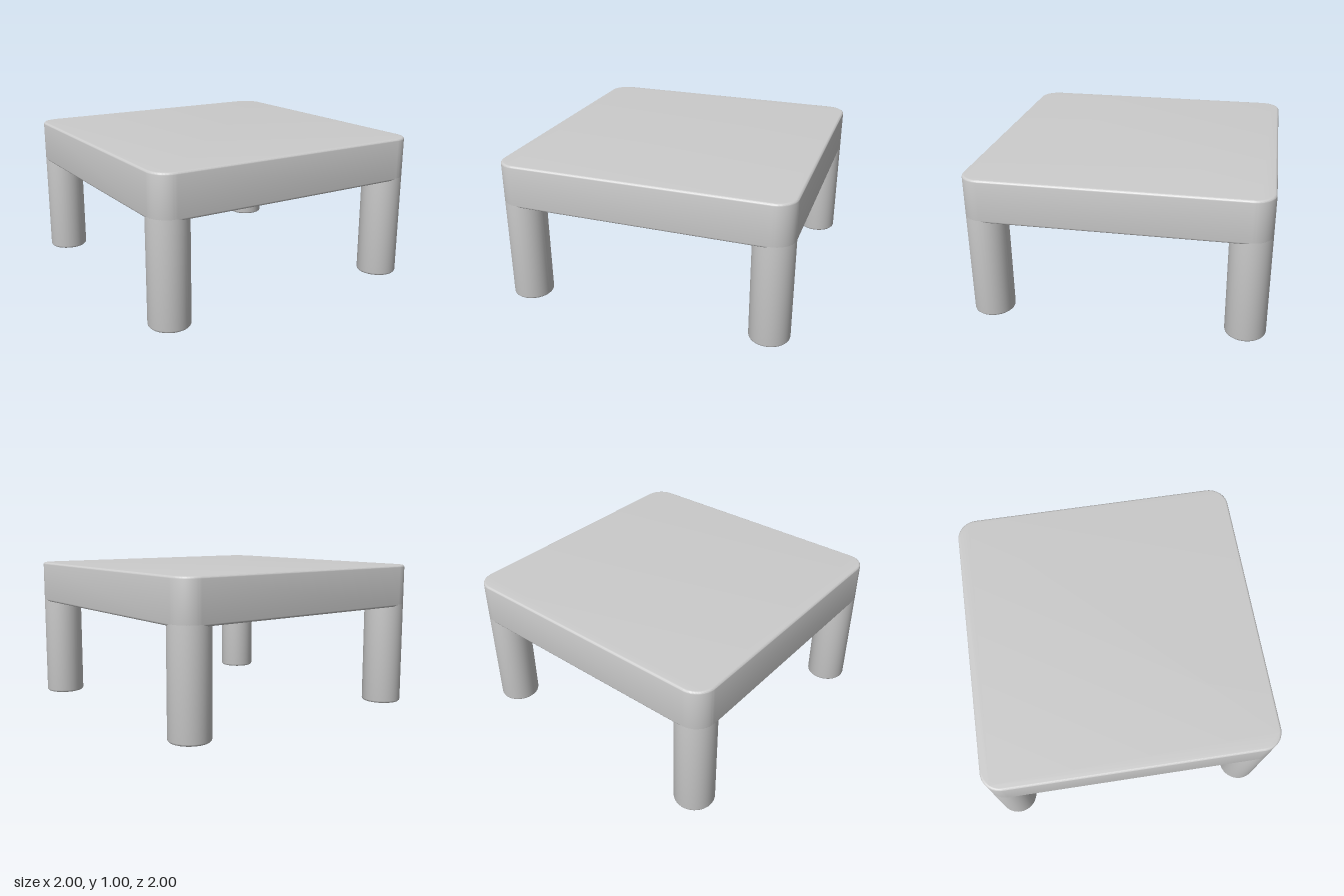
import * as THREE from 'three';
import { toCreasedNormals } from 'three/addons/utils/BufferGeometryUtils.js';

const R = 0.137;          // leg radius, also the corner radius of the top
const B = 0.015;          // small edge rounding
const UNDER = 0.705;      // underside of the top
const material = new THREE.MeshStandardMaterial({ color: 0xcccccc });

function lathe(points, segments, start = 0, length = Math.PI * 2) {
  const profile = points.map(([r, y]) => new THREE.Vector2(r, y));
  return toCreasedNormals(new THREE.LatheGeometry(profile, segments, start, length), 0.7);
}

// Rounded square, grown outwards to full size by the bevel
function topGeometry() {
  const c = 1 - R, r = R - B;
  const shape = new THREE.Shape();
  [[c, c], [-c, c], [-c, -c], [c, -c]].forEach(([x, y], i) => {
    shape.absarc(x, y, r, i * Math.PI / 2, (i + 1) * Math.PI / 2, false);
  });
  const geometry = new THREE.ExtrudeGeometry(shape, {
    depth: 1 - UNDER - 2 * B, bevelThickness: B, bevelSize: B, bevelSegments: 4, curveSegments: 12,
  });
  geometry.rotateX(-Math.PI / 2).translate(0, UNDER + B, 0);
  return toCreasedNormals(geometry, 0.7);
}

export function createModel() {
  const group = new THREE.Group();
  const add = (name, geometry, parent = group) => {
    const mesh = new THREE.Mesh(geometry, material);
    mesh.name = name;
    parent.add(mesh);
    return mesh;
  };

  add('tableTop', topGeometry());

  const legGeometry = lathe([
    [0, 0], [R - B, 0], [R - B * 0.5, 0.002], [R - 0.002, B * 0.5], [R, B], [R, UNDER + B],
  ], 48);
  // Soft flare on the inner side where the leg meets the underside
  const flareGeometry = lathe([
    [R, 0.68], [R + 0.005, 0.69], [R + 0.025, 0.697], [R + 0.06, 0.702], [R + 0.11, UNDER + 0.001],
  ], 16, Math.PI, Math.PI / 2);

  ['frontLeft', 'backLeft', 'backRight', 'frontRight'].forEach((corner, i) => {
    const pivot = new THREE.Group();
    pivot.name = corner + 'LegGroup';
    pivot.rotation.y = i * Math.PI / 2;
    add(corner + 'Leg', legGeometry, pivot).position.set(1 - R, 0, 1 - R);
    add(corner + 'LegFlare', flareGeometry, pivot).position.set(1 - R, 0, 1 - R);
    group.add(pivot);
  });

  return group;
}
